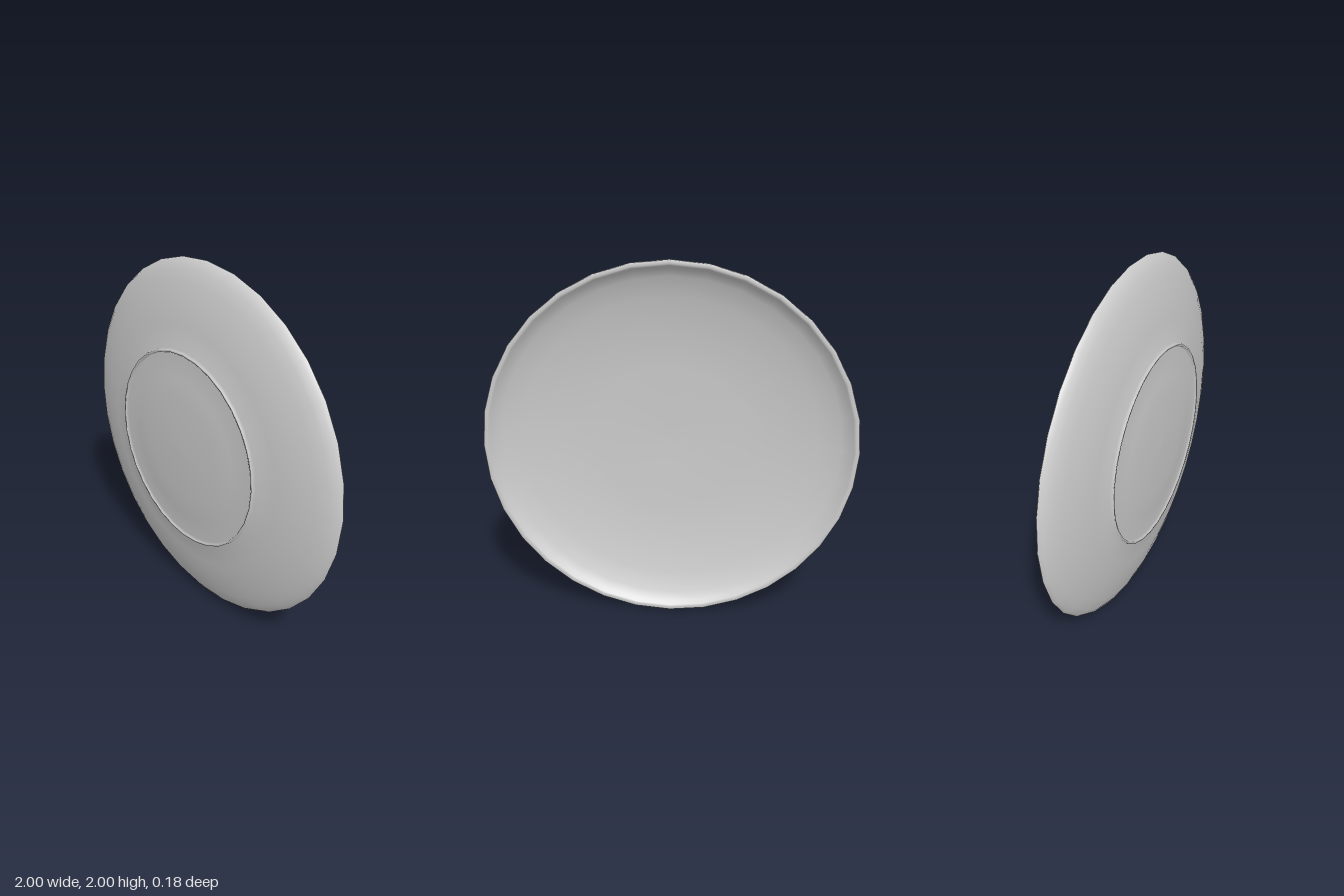
import * as THREE from 'three';

// Plate standing on its rim, underside with foot ring facing +z.
export function createModel() {
  const group = new THREE.Group();
  group.name = 'plate';

  // Cross-section as [radius, depth]
  const profile = [
    // eating surface, centre to rim
    [0, 0.06], [0.4, 0.053], [0.62, 0.03], [0.8, -0.005], [0.91, -0.04], [0.955, -0.07], [0.97, -0.088],
    // rim
    [0.98, -0.092], [0.996, -0.092], [1, -0.086],
    // underside, rim to foot
    [0.985, -0.065], [0.95, -0.04], [0.89, -0.015], [0.79, 0.015], [0.68, 0.038], [0.557, 0.056],
    // foot ring
    [0.552, 0.073], [0.541, 0.073], [0.535, 0.058],
    // domed centre inside the foot
    [0.4, 0.077], [0.28, 0.084], [0.14, 0.09], [0, 0.092],
  ].map(([r, d]) => new THREE.Vector2(r, d));

  const geometry = new THREE.LatheGeometry(profile, 32);
  geometry.rotateX(Math.PI / 2);
  const material = new THREE.MeshStandardMaterial({ color: 0xcccccc });
  const body = new THREE.Mesh(geometry, material);
  body.name = 'plateBody';
  body.position.y = 1;
  group.add(body);
  return group;
}
